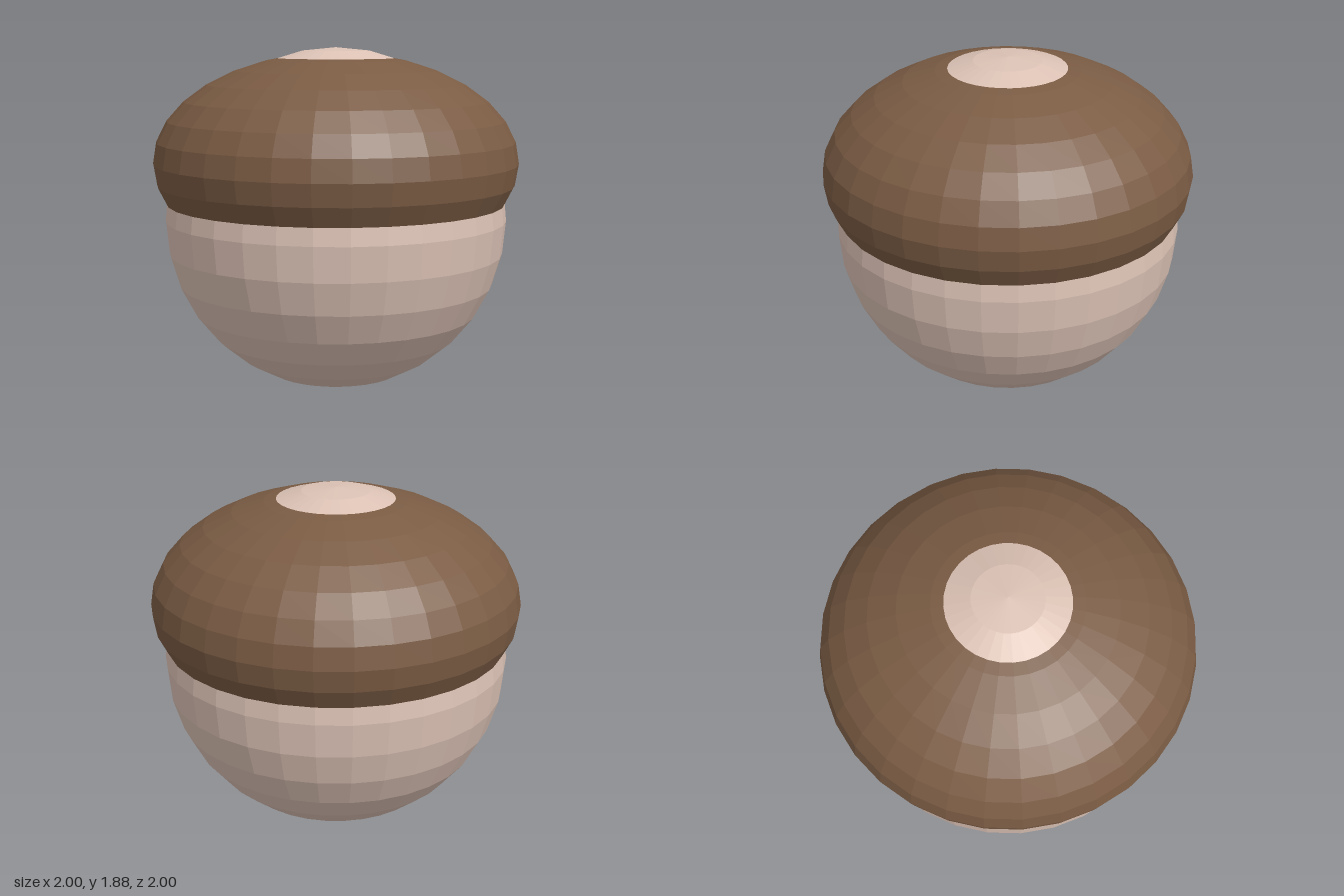
import * as THREE from 'three';

const nutShell = new THREE.MeshStandardMaterial({ color: 0xdcc2b5 });
nutShell.name = 'pale nut shell';
nutShell.flatShading = true;
const capBrown = new THREE.MeshStandardMaterial({ color: 0x7b5c44 });
capBrown.name = 'cap brown';
capBrown.flatShading = true;

// Faceted ball, optionally squashed in height, centred at height y
function ball(name, radius, squash, y, material) {
  const geometry = new THREE.SphereGeometry(radius, 32, 16).scale(1, squash, 1);
  const mesh = new THREE.Mesh(geometry, material);
  mesh.name = name;
  mesh.position.y = y;
  return mesh;
}

export function createModel() {
  const acorn = new THREE.Group();
  acorn.name = 'acorn';
  // Round nut; its crown pokes slightly through the cap
  acorn.add(ball('nut', 0.9375, 1, 0.9375, nutShell));
  // Flattened, wider cap sitting over the upper half
  acorn.add(ball('cap', 1, 0.6, 1.25, capBrown));
  return acorn;
}
